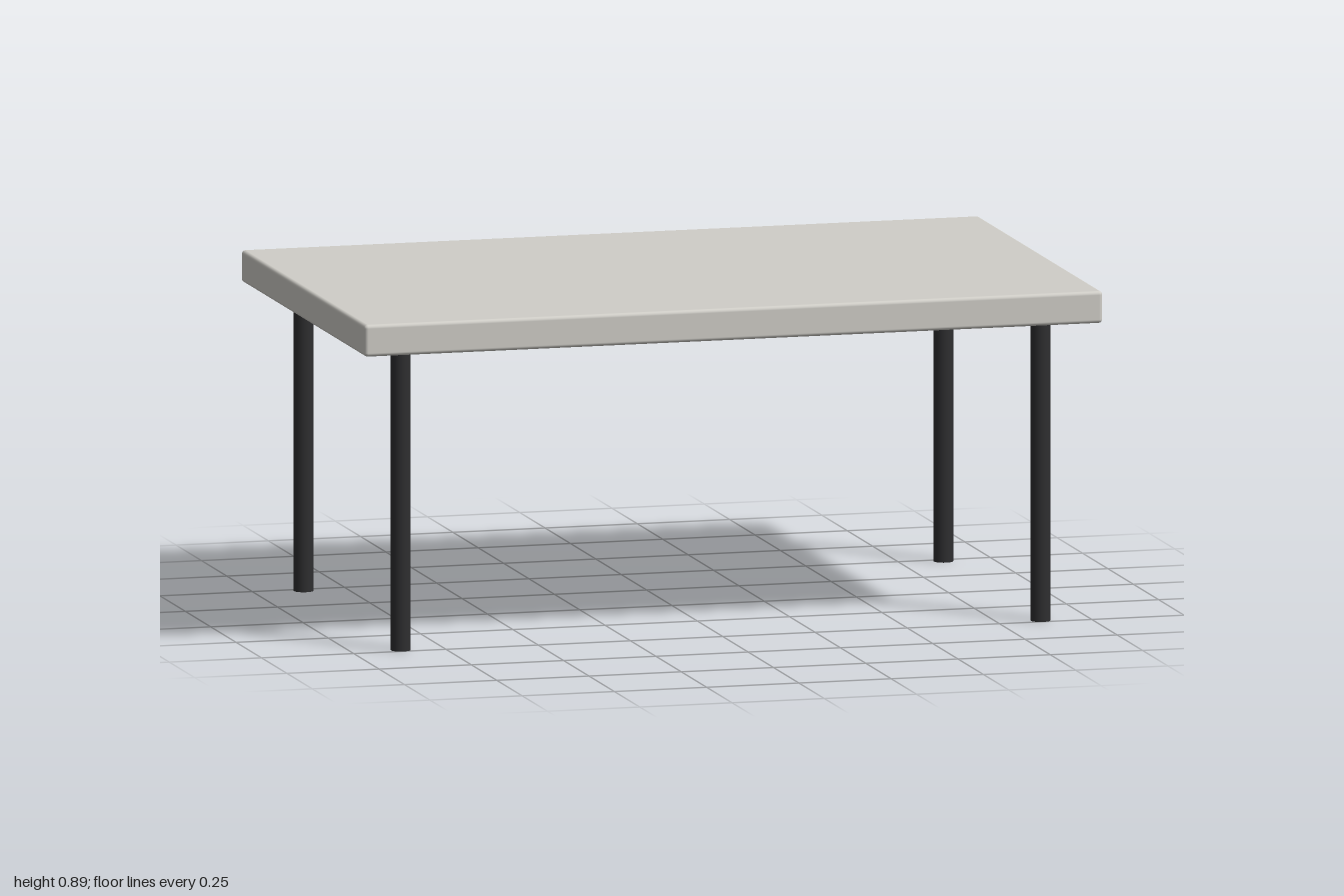
import * as THREE from 'three';
import { RoundedBoxGeometry } from 'three/addons/geometries/RoundedBoxGeometry.js';

export function createModel() {
  const table = new THREE.Group();
  table.name = 'table';

  const topMaterial = new THREE.MeshStandardMaterial({ color: 0xd0cec8 });
  const legMaterial = new THREE.MeshStandardMaterial({ color: 0x2e2e30 });

  // Slab with softly rounded edges
  const bottom = 0.803, thickness = 0.085;
  const top = new THREE.Mesh(new RoundedBoxGeometry(2, thickness, 1.22, 3, 0.01), topMaterial);
  top.name = 'tableTop';
  top.position.y = bottom + thickness / 2;
  table.add(top);

  // Four round legs, mirrored in x and z
  const legGeometry = new THREE.CylinderGeometry(0.026, 0.026, bottom, 24);
  for (const [side, x] of [['Left', 0.867], ['Right', -0.867]]) {
    for (const [end, z] of [['front', 0.478], ['back', -0.478]]) {
      const leg = new THREE.Mesh(legGeometry, legMaterial);
      leg.name = `${end}${side}Leg`;
      leg.position.set(x, bottom / 2, z);
      table.add(leg);
    }
  }

  return table;
}
